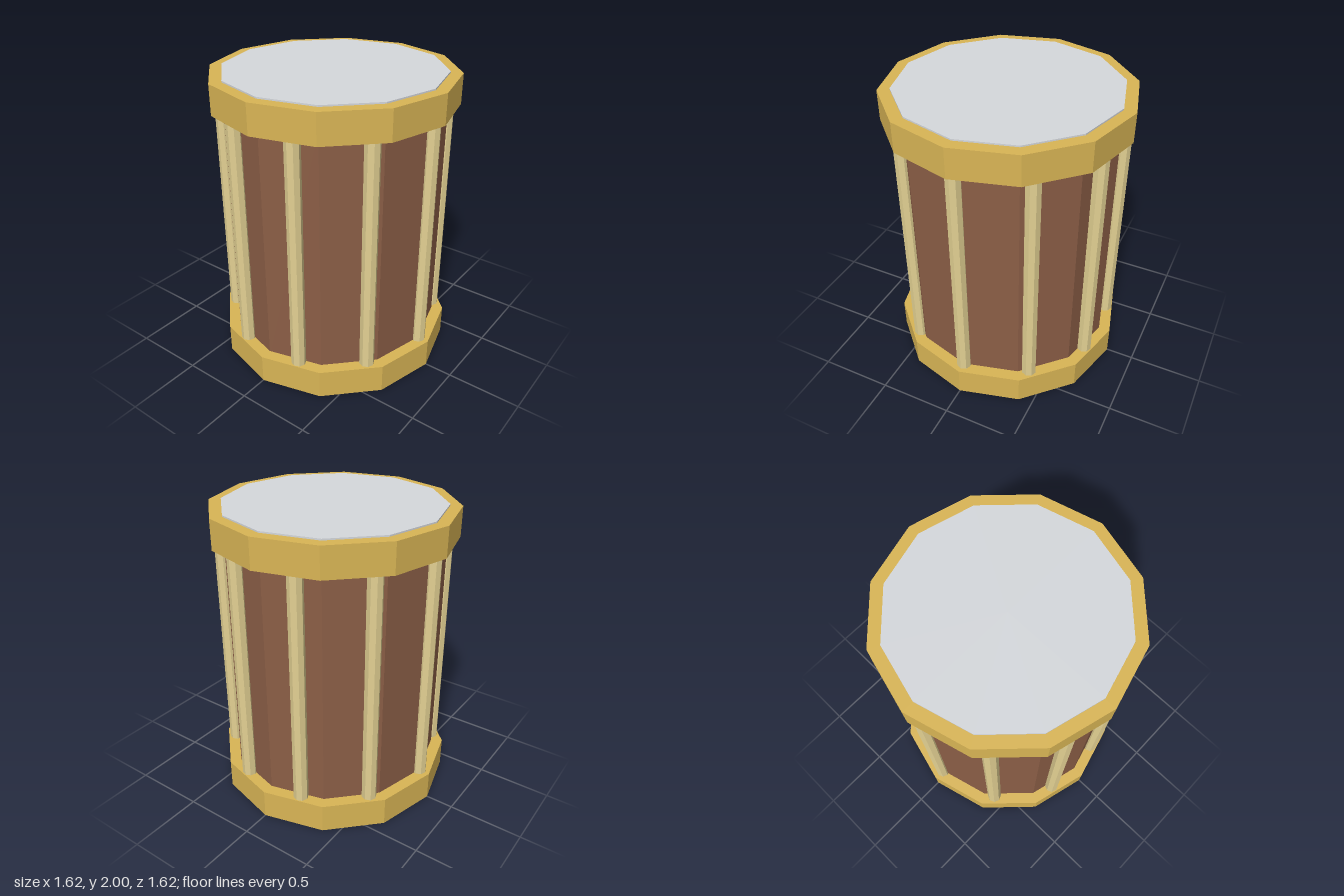
import * as THREE from 'three';

const paint = (color) => new THREE.MeshStandardMaterial({ color, flatShading: true });

export function createModel() {
  const drum = new THREE.Group();
  drum.name = 'drum';
  const brass = paint(0xd9b555);
  const wood = paint(0x8b5e46);
  const cord = paint(0xe2d092);
  const hide = paint(0xd5d8dc);

  // Upright prism from height y0 to y1
  function prism(name, radius, y0, y1, sides, material, x = 0, z = 0) {
    const mesh = new THREE.Mesh(new THREE.CylinderGeometry(radius, radius, y1 - y0, sides), material);
    mesh.name = name;
    mesh.position.set(x, (y0 + y1) / 2, z);
    drum.add(mesh);
  }

  // Twelve-sided shell, hoops and drumhead
  prism('shell', 0.73, 0.15, 1.85, 12, wood);
  prism('bottomHoop', 0.81, 0, 0.2, 12, brass);
  prism('topHoop', 0.81, 1.79, 1.99, 12, brass);
  prism('drumhead', 0.73, 1.95, 2, 12, hide);

  // Ten tension rods spaced around the shell
  for (let i = 0; i < 10; i++) {
    const a = (i / 10) * Math.PI * 2;
    prism('tensionRod' + (i + 1), 0.05, 0.15, 1.85, 8, cord, 0.73 * Math.cos(a), 0.73 * Math.sin(a));
  }
  return drum;
}
